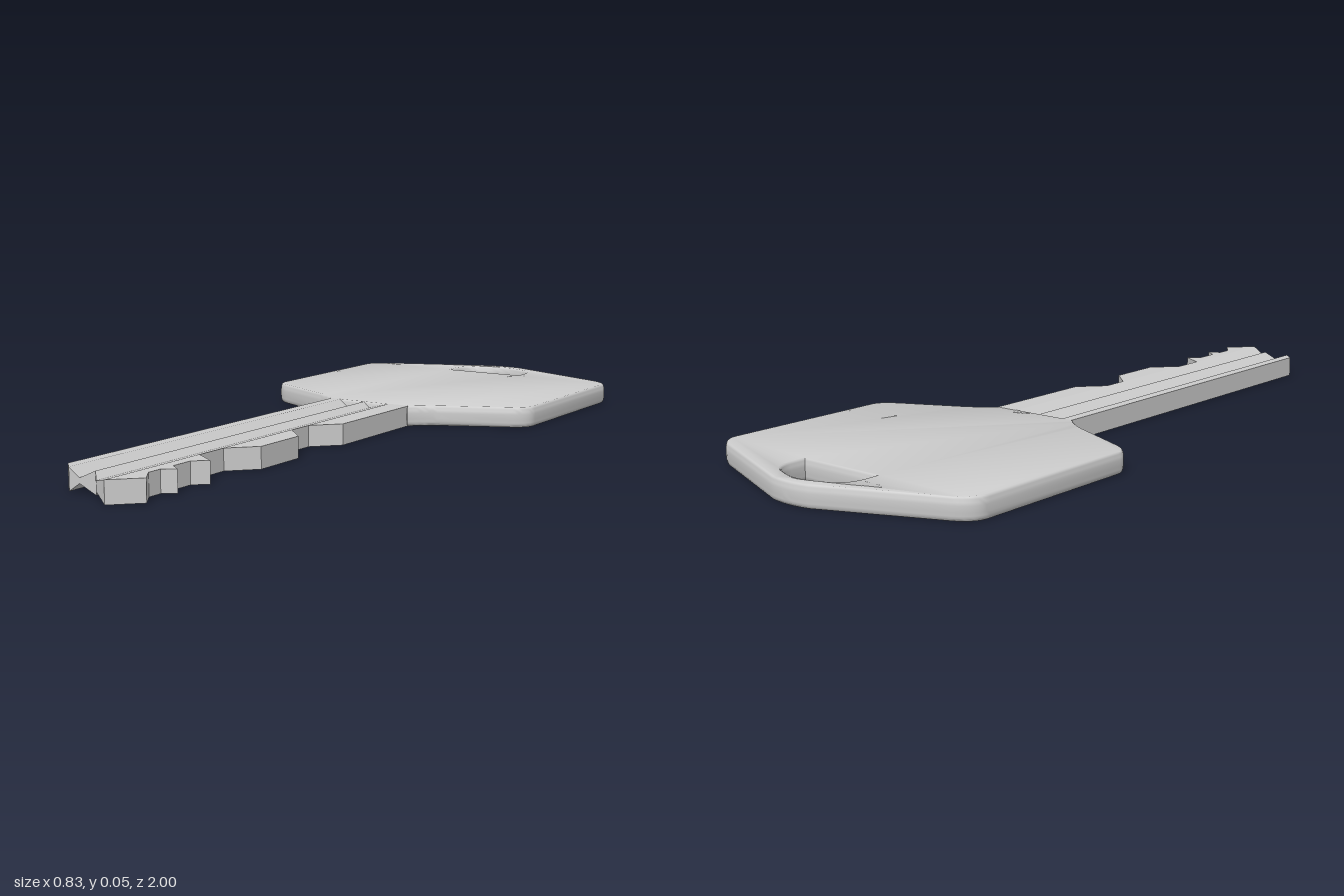
import * as THREE from 'three';
import { toCreasedNormals } from 'three/addons/utils/BufferGeometryUtils.js';

const T = 0.055; // thickness of the key
const NECK = -0.155; // where the blade meets the head
const mat = new THREE.MeshStandardMaterial({ color: 0xcccccc });
const pts = (list) => list.map(([x, z]) => new THREE.Vector2(x, z));

// Lays an extruded (x, z) plan flat between y = 0 and y = T
function plate(shape, bevel) {
  const size = bevel ? 0.007 : 0;
  const thick = bevel ? 0.02 : 0;
  const geo = new THREE.ExtrudeGeometry(shape, {
    depth: T - 2 * thick, bevelEnabled: bevel, bevelThickness: thick,
    bevelSize: size, bevelOffset: -size, bevelSegments: 4, curveSegments: 8,
  });
  geo.rotateX(Math.PI / 2);
  geo.translate(0, T - thick, 0);
  return geo;
}

function add(group, name, geo) {
  const mesh = new THREE.Mesh(geo, mat);
  mesh.name = name;
  group.add(mesh);
}

// Six-sided grip with rounded corners and a slot for the ring
function headGeometry() {
  const s = new THREE.Shape();
  s.moveTo(-0.125, NECK);
  s.lineTo(0.125, NECK);
  s.quadraticCurveTo(0.16, -0.19, 0.2, -0.21);
  s.lineTo(0.365, -0.287);
  s.quadraticCurveTo(0.415, -0.31, 0.415, -0.345);
  s.lineTo(0.415, -0.8);
  s.quadraticCurveTo(0.415, -0.84, 0.365, -0.866);
  s.lineTo(0.06, -0.992);
  s.quadraticCurveTo(0, -1.008, -0.06, -0.992);
  s.lineTo(-0.365, -0.866);
  s.quadraticCurveTo(-0.415, -0.84, -0.415, -0.8);
  s.lineTo(-0.415, -0.345);
  s.quadraticCurveTo(-0.415, -0.31, -0.365, -0.287);
  s.lineTo(-0.2, -0.21);
  s.quadraticCurveTo(-0.16, -0.19, -0.125, NECK);

  const hole = new THREE.Path();
  hole.moveTo(-0.115, -0.843);
  hole.lineTo(-0.115, -0.885);
  hole.quadraticCurveTo(-0.11, -0.93, -0.07, -0.943);
  hole.quadraticCurveTo(0, -0.978, 0.07, -0.943);
  hole.quadraticCurveTo(0.11, -0.93, 0.115, -0.885);
  hole.lineTo(0.115, -0.843);
  hole.closePath();
  s.holes.push(hole);
  return toCreasedNormals(plate(s, true), 0.6);
}

// Grooved blade: each station is [x, groove depth, z of the tip]
function bladeGeometry() {
  const stations = [
    [-0.125, 0, 0.91], [-0.095, 0, 0.94], [-0.064, 0.021, 0.94],
    [-0.017, 0, 0.94], [0.005, 0.015, 0.963], [0.06, 0, 1.0],
  ];
  const z0 = NECK - 0.01;
  const pos = [];
  const quad = (a, b, c, d) => pos.push(...a, ...b, ...c, ...a, ...c, ...d);
  const corners = ([x, g, z]) => ({
    tb: [x, T - g, z0], tf: [x, T - g, z], bb: [x, g, z0], bf: [x, g, z],
  });
  for (let i = 0; i < stations.length - 1; i++) {
    const a = corners(stations[i]);
    const b = corners(stations[i + 1]);
    quad(a.tb, a.tf, b.tf, b.tb); // top
    quad(a.bb, b.bb, b.bf, a.bf); // underside
    quad(a.bf, b.bf, b.tf, a.tf); // tip
    if (i === 0) quad(a.bb, a.bf, a.tf, a.tb); // straight back edge
  }
  const geo = new THREE.BufferGeometry();
  geo.setAttribute('position', new THREE.Float32BufferAttribute(pos, 3));
  geo.computeVertexNormals();
  return geo;
}

// Cut edge along the blade, [x, z] from neck to tip
function teethGeometry() {
  return plate(new THREE.Shape(pts([
    [0.06, NECK - 0.01], [0.123, NECK - 0.01], [0.123, 0.165], [0.062, 0.23],
    [0.062, 0.305], [0.123, 0.365], [0.123, 0.52], [0.062, 0.585],
    [0.062, 0.675], [0.123, 0.715], [0.09, 0.745], [0.09, 0.805],
    [0.12, 0.828], [0.09, 0.85], [0.09, 0.89], [0.123, 0.937], [0.06, 1.0],
  ])), false);
}

export function createModel() {
  const key = new THREE.Group();
  key.name = 'key';
  add(key, 'head', headGeometry());
  add(key, 'groovedBlade', bladeGeometry());
  add(key, 'teeth', teethGeometry());
  return key;
}
